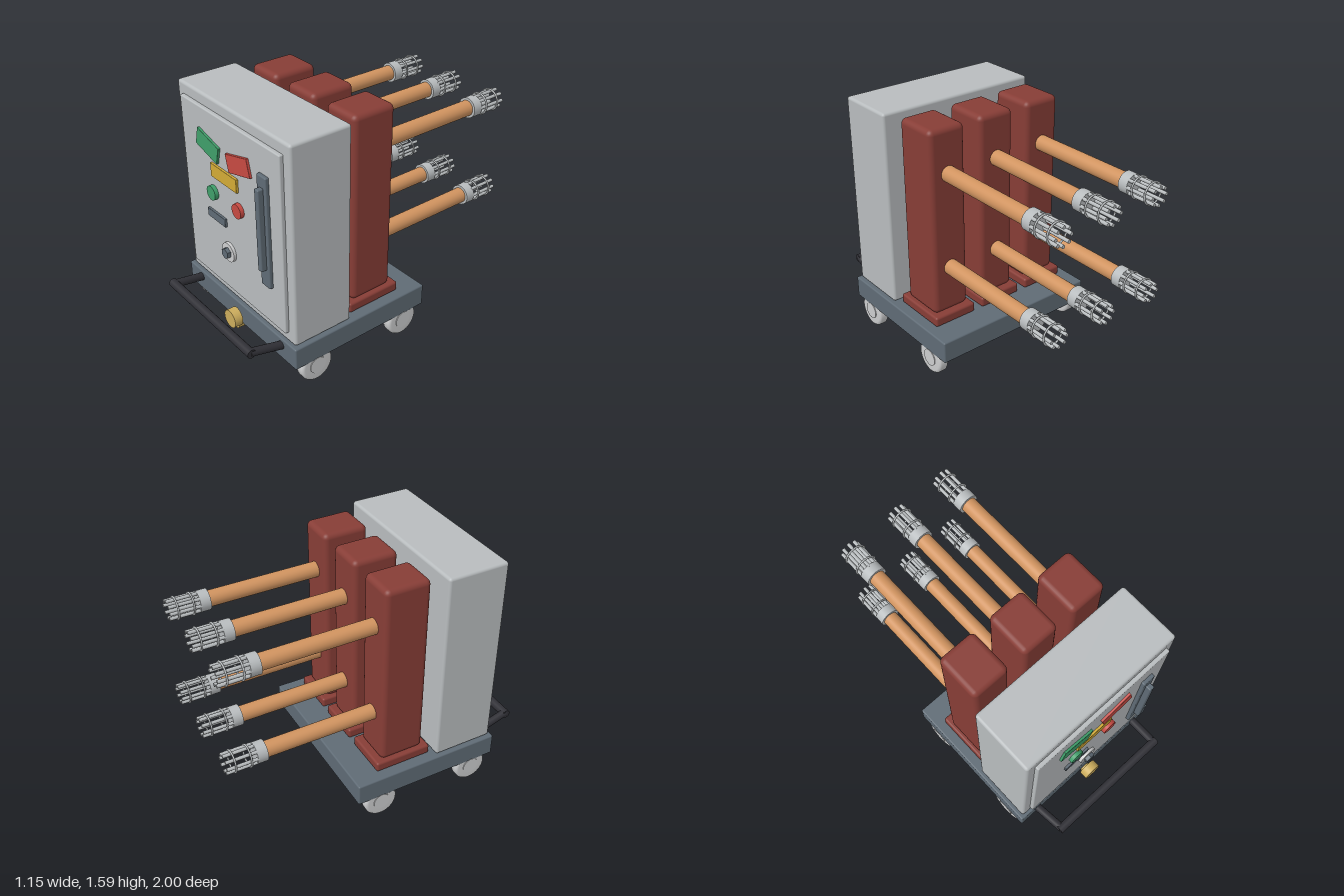
import * as THREE from 'three';
import { RoundedBoxGeometry } from 'three/addons/geometries/RoundedBoxGeometry.js';

const mat = (name, color) => {
  const m = new THREE.MeshStandardMaterial({ color });
  m.name = name;
  return m;
};

export function createModel() {
  const grey = mat('cabinet grey', 0xb8bcbe);
  const slate = mat('slate', 0x5f6b75);
  const maroon = mat('insulator red', 0x873d36);
  const copper = mat('copper', 0xd0935f);
  const light = mat('light grey', 0xcccdce);
  const black = mat('black', 0x303036);
  const gold = mat('brass', 0xcbac5c);
  const green = mat('green', 0x3f9e6a);
  const red = mat('red', 0xc64a42);
  const yellow = mat('yellow', 0xd2aa36);

  const model = new THREE.Group();
  model.name = 'switchgearTruck';

  const add = (name, geometry, material, x = 0, y = 0, z = 0, parent = model) => {
    const mesh = new THREE.Mesh(geometry, material);
    mesh.name = name;
    mesh.position.set(x, y, z);
    parent.add(mesh);
    return mesh;
  };
  // Rounded box given by its limits on each axis
  const box = (name, material, [x0, x1], [y0, y1], [z0, z1], r = 0.005, parent = model) =>
    add(name, new RoundedBoxGeometry(x1 - x0, y1 - y0, z1 - z0, 3, r), material,
      (x0 + x1) / 2, (y0 + y1) / 2, (z0 + z1) / 2, parent);
  // Cylinder along z from z0 to z1
  const rodZ = (name, material, r, x, y, z0, z1, sides = 32, parent = model) =>
    add(name, new THREE.CylinderGeometry(r, r, z1 - z0, sides).rotateX(Math.PI / 2), material,
      x, y, (z0 + z1) / 2, parent);
  // Cylinder along x
  const rodX = (name, material, r, length, x, y, z, parent = model) =>
    add(name, new THREE.CylinderGeometry(r, r, length, 32).rotateZ(Math.PI / 2), material, x, y, z, parent);

  // Truck base and underside tray
  box('truckBase', slate, [-0.575, 0.575], [0.155, 0.302], [-0.235, 0.765], 0.01);
  box('underTray', slate, [-0.33, 0.33], [0.087, 0.16], [-0.11, 0.5], 0.005);

  // Axles and wheels
  const wheelProfile = [[0, -0.034], [0.09, -0.034], [0.103, -0.03], [0.11, -0.02],
    [0.11, 0.02], [0.103, 0.03], [0.09, 0.034], [0, 0.034]].map(p => new THREE.Vector2(...p));
  const wheelGeometry = new THREE.LatheGeometry(wheelProfile, 40).rotateZ(Math.PI / 2);
  for (const z of [0.605, -0.07]) {
    rodX('axle', slate, 0.027, 1.04, 0, 0.115, z);
    for (const side of [-1, 1]) {
      add('wheel', wheelGeometry, light, side * 0.538, 0.11, z);
      rodX('wheelHub', light, 0.056, 0.076, side * 0.539, 0.11, z);
    }
  }

  // Cabinet and its front door
  box('cabinet', grey, [-0.55, 0.55], [0.302, 1.592], [0.34, 0.745], 0.018);
  box('door', grey, [-0.49, 0.49], [0.372, 1.52], [0.73, 0.77], 0.008);

  // Nameplates on the door
  const plate = (name, material, x, y, w, h, angle = 0) => {
    const p = box(name, material, [x - w / 2, x + w / 2], [y - h / 2, y + h / 2], [0.765, 0.785], 0.003);
    p.rotation.z = THREE.MathUtils.degToRad(angle);
  };
  plate('greenPlate', green, -0.202, 1.304, 0.222, 0.113, -14.5);
  plate('redPlate', red, 0.108, 1.304, 0.222, 0.113, 14.5);
  plate('yellowPlate', yellow, -0.048, 1.162, 0.264, 0.088);
  plate('counterWindow', slate, -0.156, 0.848, 0.186, 0.055);

  // Push buttons and hexagonal crank socket
  rodZ('greenButton', green, 0.046, -0.18, 1.006, 0.765, 0.795);
  rodZ('redButton', red, 0.046, 0.084, 1.006, 0.765, 0.795);
  rodZ('socketDisc', light, 0.063, -0.048, 0.657, 0.765, 0.788);
  const hex = rodZ('socketHex', slate, 0.035, -0.048, 0.657, 0.78, 0.812, 6);
  hex.geometry = hex.geometry.toNonIndexed();
  hex.geometry.computeVertexNormals();

  // Long door latch
  box('latchPlate', slate, [0.303, 0.388], [0.635, 1.35], [0.765, 0.793], 0.008);
  box('latchGrip', slate, [0.328, 0.365], [0.755, 1.28], [0.785, 0.828], 0.008);

  // Pull handle: two slanting posts and a cross bar
  const tube = (name, a, b, r) => {
    const from = new THREE.Vector3(...a), to = new THREE.Vector3(...b);
    const post = add(name, new THREE.CylinderGeometry(r, r, from.distanceTo(to), 24), black);
    post.position.copy(from).lerp(to, 0.5);
    post.quaternion.setFromUnitVectors(new THREE.Vector3(0, 1, 0), to.clone().sub(from).normalize());
  };
  for (const side of [-1, 1]) {
    tube('handlePost', [side * 0.436, 0.252, 0.75], [side * 0.42, 0.3, 0.972], 0.026);
  }
  rodX('handleBar', black, 0.028, 0.88, 0, 0.3, 0.972);

  // Brass locking knob
  rodZ('knobDisc', gold, 0.06, 0, 0.212, 0.782, 0.838);
  rodZ('knobShaft', gold, 0.032, 0, 0.157, 0.7, 0.795);

  // Three insulated poles, each with an upper and a lower contact arm
  const rods = 8;
  for (const x of [-0.36, 0, 0.36]) {
    const pole = new THREE.Group();
    pole.name = 'pole';
    pole.position.x = x;
    model.add(pole);
    box('poleFoot', maroon, [-0.15, 0.15], [0.302, 0.368], [-0.07, 0.31], 0.015, pole);
    box('poleBody', maroon, [-0.126, 0.126], [0.36, 1.582], [-0.027, 0.27], 0.035, pole);
    for (const y of [1.295, 0.67]) {
      const arm = new THREE.Group();
      arm.name = 'contactArm';
      arm.position.y = y;
      pole.add(arm);
      rodZ('armBar', copper, 0.05, 0, 0, -0.76, 0, 32, arm);
      rodZ('armCollar', grey, 0.066, 0, 0, -0.81, -0.745, 32, arm);
      for (let i = 0; i < rods; i++) {
        const a = (i / rods) * Math.PI * 2;
        rodZ('contactFinger', grey, 0.011, 0.056 * Math.cos(a), 0.056 * Math.sin(a), -1, -0.8, 10, arm);
      }
      for (const z of [-0.85, -0.947]) {
        add('springRing', new THREE.TorusGeometry(0.068, 0.006, 8, 36), grey, 0, 0, z, arm);
      }
    }
  }
  return model;
}
